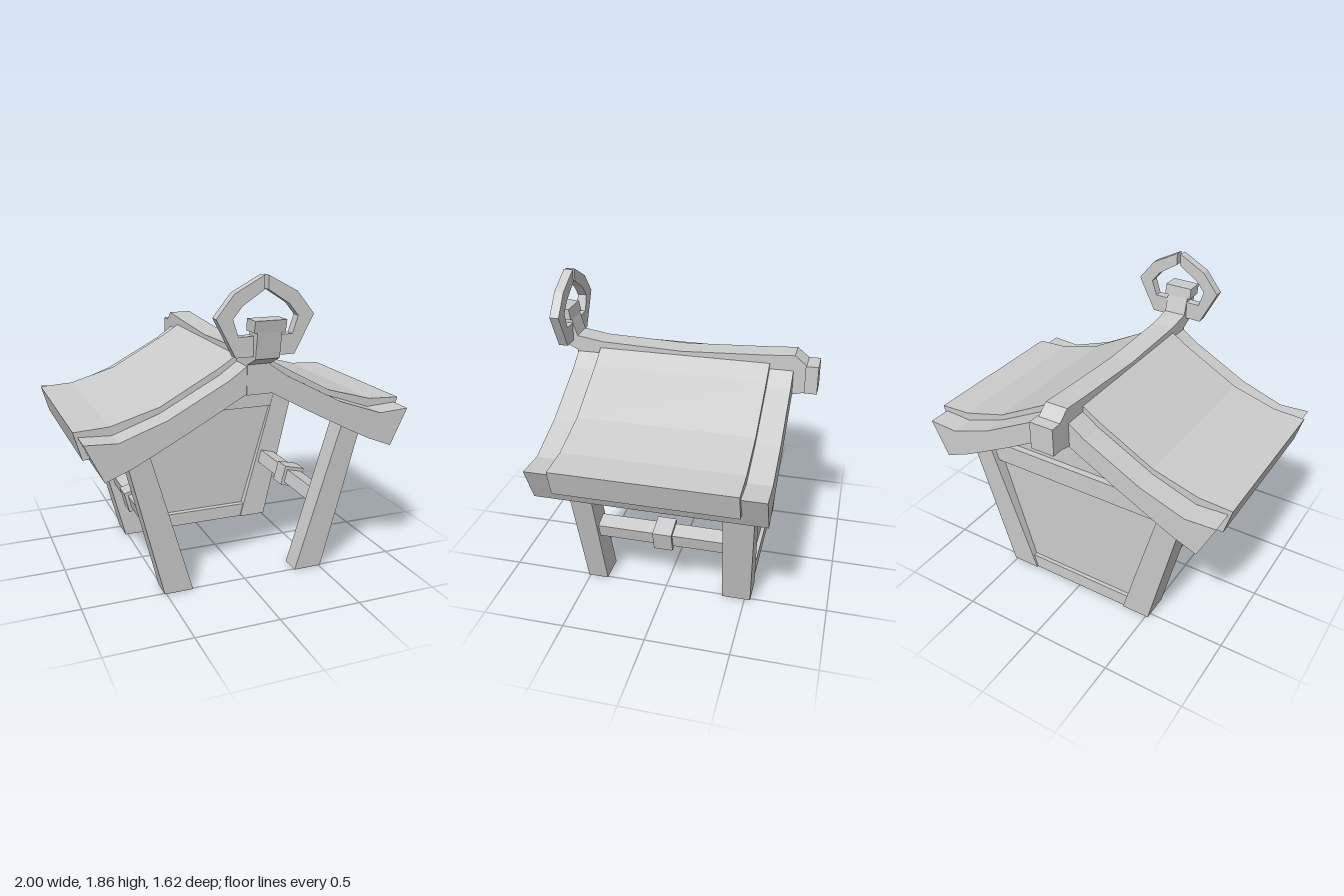
import * as THREE from 'three';

const material = new THREE.MeshStandardMaterial({ color: 0xcccccc, flatShading: true });

function add(parent, name, geometry) {
  const mesh = new THREE.Mesh(geometry, material);
  mesh.name = name;
  parent.add(mesh);
  return mesh;
}

// Outline in x/y, extruded from z0 to z1
function slab(points, z0, z1) {
  const shape = new THREE.Shape(points.map(([x, y]) => new THREE.Vector2(x, y)));
  const geometry = new THREE.ExtrudeGeometry(shape, { depth: z1 - z0, bevelEnabled: false });
  return geometry.translate(0, 0, z0);
}

// Outline in z/y, extruded from x0 to x1
function sideSlab(points, x0, x1) {
  return slab(points, -x1, -x0).rotateY(-Math.PI / 2);
}

// Half outline on +x, closed by its mirror image
function mirrored(half) {
  return [...half, ...half.map(([x, y]) => [-x, y]).reverse()];
}

// Box whose lower and upper rectangles [x0, x1, z0, z1] differ
function taperedBox(y0, y1, lower, upper) {
  const geometry = new THREE.BoxGeometry(1, 1, 1);
  const p = geometry.attributes.position;
  for (let i = 0; i < p.count; i++) {
    const top = p.getY(i) > 0;
    const r = top ? upper : lower;
    p.setXYZ(i, p.getX(i) > 0 ? r[1] : r[0], top ? y1 : y0, p.getZ(i) > 0 ? r[3] : r[2]);
  }
  geometry.computeVertexNormals();
  return geometry;
}

export function createModel() {
  const model = new THREE.Group();
  model.name = 'gateShelter';

  // Curved gable roof with heavy eaves
  add(model, 'roof', slab(mirrored([
    [0.06, 1.21], [0.37, 1.04], [0.6, 0.92], [0.72, 0.86], [0.87, 0.8],
    [0.975, 1.02], [0.79, 1.01], [0.52, 1.105], [0.17, 1.29], [0.05, 1.375],
  ].reverse()), -0.665, 0.66));

  // Raised covering on each slope, wrapping over the eave
  for (const s of [-1, 1]) {
    add(model, s > 0 ? 'leftRoofCover' : 'rightRoofCover', slab([
      [0.03, 1.42], [0.18, 1.325], [0.52, 1.14], [0.8, 1.06], [1, 1.05],
      [0.955, 0.89], [0.9, 0.89], [0.95, 1.0], [0.79, 0.99], [0.52, 1.08], [0.03, 1.32],
    ].map(([x, y]) => [s * x, y]), -0.525, 0.515));
  }

  // Sagging ridge beam, curling upward at the front
  add(model, 'ridgeBeam', sideSlab([
    [0.8, 1.6], [0.7, 1.6], [0.69, 1.56], [0.66, 1.46], [0.5, 1.435], [0, 1.42],
    [-0.5, 1.445], [-0.67, 1.457], [-0.74, 1.4], [-0.74, 1.23], [-0.66, 1.21],
    [-0.4, 1.19], [0.4, 1.19], [0.665, 1.2], [0.665, 1.37], [0.77, 1.42],
  ], -0.07, 0.07));
  add(model, 'ridgeFrontCap', sideSlab([
    [0.81, 1.63], [0.7, 1.63], [0.69, 1.565], [0.795, 1.565],
  ], -0.09, 0.09));
  add(model, 'ridgeBackCap', sideSlab([
    [-0.735, 1.4], [-0.81, 1.4], [-0.81, 1.23], [-0.735, 1.23],
  ], -0.07, 0.08));

  // Pair of angular horns forming an almost closed ring
  for (const s of [-1, 1]) {
    add(model, s > 0 ? 'leftHorn' : 'rightHorn', slab([
      [0.012, 1.855], [0.18, 1.765], [0.28, 1.64], [0.17, 1.43], [0.05, 1.43],
      [0.05, 1.54], [0.155, 1.54], [0.187, 1.635], [0.135, 1.7], [0.012, 1.78],
    ].map(([x, y]) => [s * x, y]), 0.687, 0.743));
  }

  for (const s of [-1, 1]) {
    const side = s > 0 ? 'left' : 'right';
    const span = (a, b, z0, z1) => [Math.min(s * a, s * b), Math.max(s * a, s * b), z0, z1];

    // Leaning legs
    add(model, side + 'FrontLeg', taperedBox(0, 0.93,
      span(0.335, 0.51, 0.385, 0.51), span(0.605, 0.74, 0.405, 0.54)));
    add(model, side + 'BackLeg', taperedBox(0, 0.93,
      span(0.335, 0.515, -0.535, -0.36), span(0.605, 0.745, -0.575, -0.39)));

    // Side rail with a collar, tilted with the legs
    const rail = new THREE.Group();
    rail.name = side + 'Rail';
    rail.position.set(s * 0.535, 0.425, 0);
    rail.rotation.z = -s * 0.245;
    add(rail, 'railBar', new THREE.BoxGeometry(0.1, 0.088, 0.82)).position.z = 0.01;
    add(rail, 'railCollar', new THREE.BoxGeometry(0.14, 0.13, 0.115)).position.z = -0.007;
    model.add(rail);
  }

  // Back wall with gable, sill and tie beam
  add(model, 'backPanel', slab(mirrored([
    [0.35, 0.04], [0.61, 0.92], [0.06, 1.22],
  ]), -0.5, -0.41));
  add(model, 'backSill', slab(mirrored([[0.34, 0], [0.37, 0.09]]), -0.525, -0.37));
  add(model, 'backTieBeam', slab(mirrored([[0.575, 0.8], [0.61, 0.93]]), -0.54, -0.39));

  return model;
}
